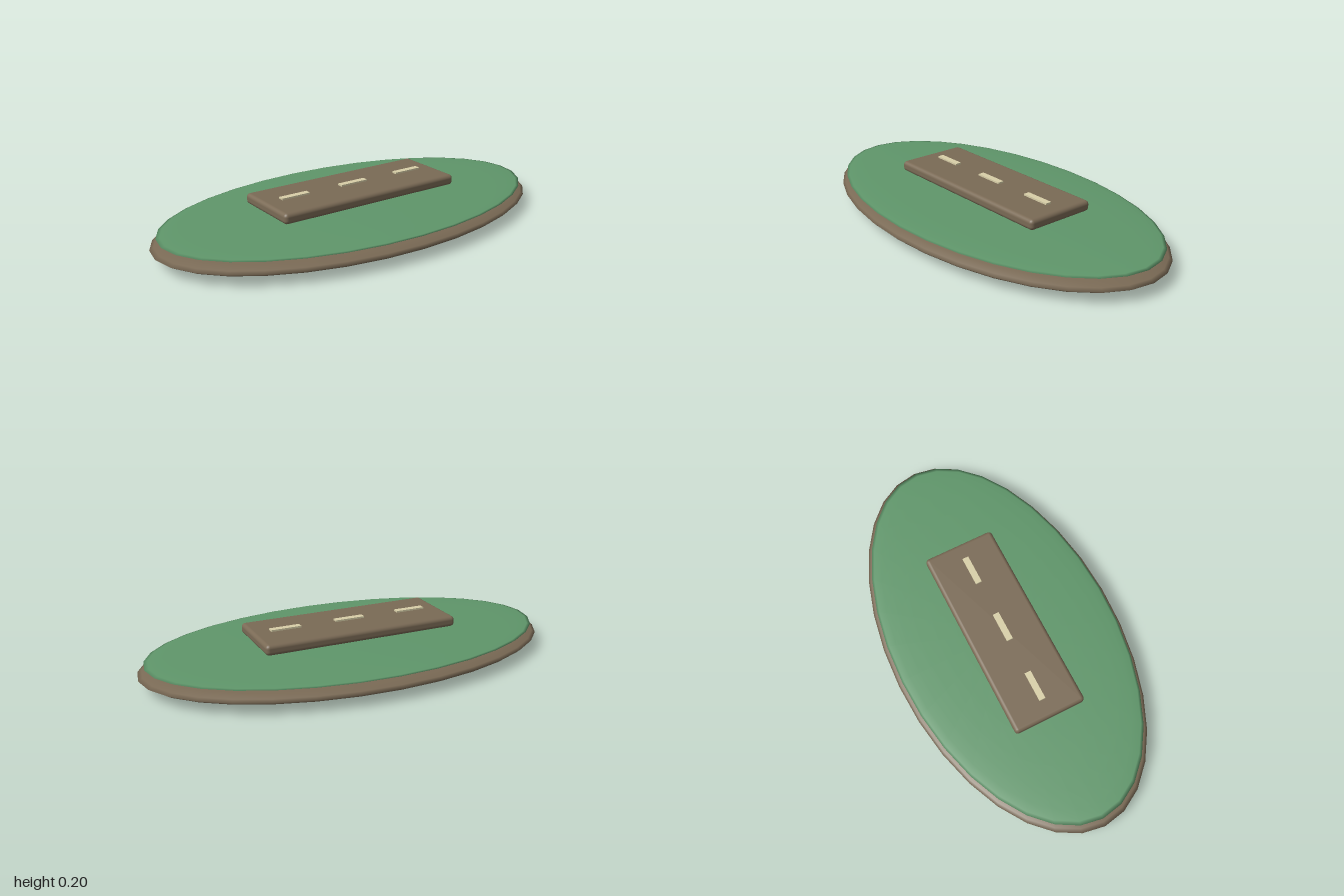
import * as THREE from 'three';
import { RoundedBoxGeometry } from 'three/addons/geometries/RoundedBoxGeometry.js';

const material = (name, color) => {
  const m = new THREE.MeshStandardMaterial({ color });
  m.name = name;
  return m;
};

export function createModel() {
  const model = new THREE.Group();
  model.name = 'islandWithSlab';
  const earth = material('earthBrown', 0x7a6a55);
  const grass = material('grassGreen', 0x5f966a);
  const cream = material('paleCream', 0xd8cfa8);

  const add = (name, geometry, mat, x, y, z) => {
    const mesh = new THREE.Mesh(geometry, mat);
    mesh.name = name;
    mesh.position.set(x, y, z);
    model.add(mesh);
  };
  // Flattened ellipsoid from its three radii
  const disc = (rx, ry, rz) => new THREE.SphereGeometry(1, 32, 16).scale(rx, ry, rz);

  // Oval ground with a thinner grass layer on it
  add('earthBase', disc(1, 0.058, 0.545), earth, 0, 0.058, 0);
  add('grassTop', disc(0.97, 0.017, 0.525), grass, 0, 0.104, 0);

  // Rounded slab hovering just above the grass
  add('slab', new RoundedBoxGeometry(0.95, 0.05, 0.35, 3, 0.018), earth, 0, 0.169, 0);

  // Row of dashes along the slab
  for (const x of [-0.32, 0, 0.32]) {
    add('dash', new THREE.BoxGeometry(0.145, 0.008, 0.03), cream, x, 0.2, 0);
  }
  return model;
}
